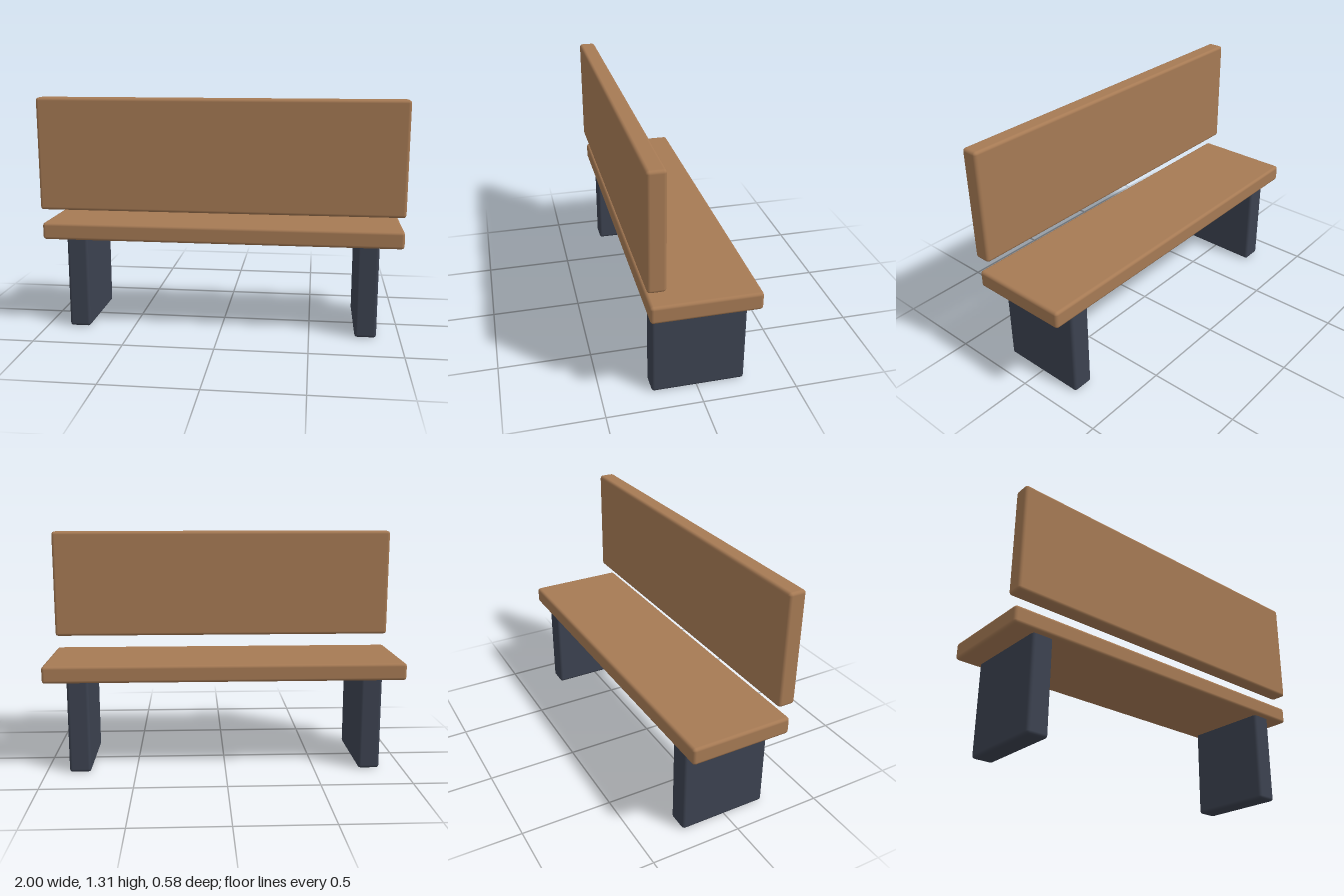
import * as THREE from 'three';
import { RoundedBoxGeometry } from 'three/addons/geometries/RoundedBoxGeometry.js';

export function createModel() {
  const bench = new THREE.Group();
  bench.name = 'bench';

  const wood = new THREE.MeshStandardMaterial({ color: 0xa67a54 });
  wood.name = 'warm wood';
  const slate = new THREE.MeshStandardMaterial({ color: 0x3c4250 });
  slate.name = 'dark slate';

  // Softly bevelled slab given by its minimum and maximum corners
  function slab(name, material, min, max) {
    const size = max.map((v, i) => v - min[i]);
    const mesh = new THREE.Mesh(new RoundedBoxGeometry(...size, 2, 0.017), material);
    mesh.position.set(...max.map((v, i) => (v + min[i]) / 2));
    mesh.name = name;
    bench.add(mesh);
  }

  // Seat and floating backrest
  slab('seat', wood, [-1, 0.517, -0.288], [1, 0.613, 0.272]);
  slab('backrest', wood, [-1, 0.692, 0.193], [1, 1.312, 0.288]);

  // Slab legs, tucked into the underside of the seat
  for (const [name, x] of [['leftLeg', 0.812], ['rightLeg', -0.812]]) {
    slab(name, slate, [x - 0.06, 0, -0.256], [x + 0.06, 0.55, 0.24]);
  }

  return bench;
}
